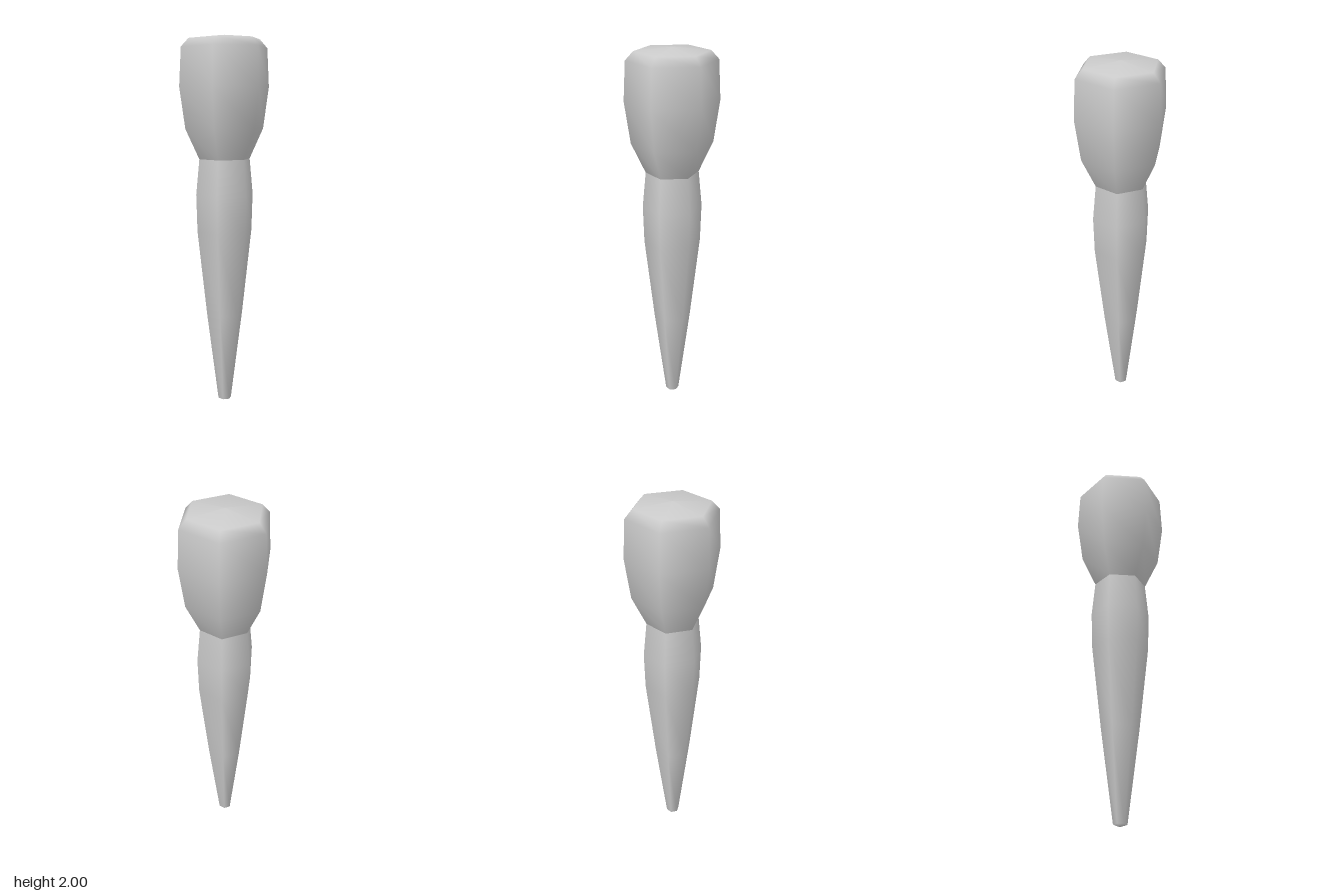
import * as THREE from 'three';

const SIDES = 6;
const TWIST = 0.21; // turn of the hexagonal section about y

// Profiles run from bottom to top as [radius, height]
const SHAFT = [[0, 0], [0.036, 0.012], [0.1, 0.5], [0.152, 0.96], [0.158, 1.16], [0.14, 1.35]];
const HEAD = [[0.14, 1.35], [0.215, 1.51], [0.2465, 1.73], [0.236, 1.935], [0.195, 1.98], [0, 2]];

function turned(name, profile, material) {
  const points = profile.map(([r, y]) => new THREE.Vector2(r, y));
  const mesh = new THREE.Mesh(new THREE.LatheGeometry(points, SIDES, TWIST), material);
  mesh.name = name;
  return mesh;
}

export function createModel() {
  const group = new THREE.Group();
  group.name = 'taperedPeg';
  const material = new THREE.MeshStandardMaterial({ color: 0xcccccc, side: THREE.DoubleSide });

  // Tapering shaft with a blunt tip, and the bulging head; separate so the neck stays sharp
  group.add(turned('shaft', SHAFT, material));
  group.add(turned('head', HEAD, material));
  return group;
}
